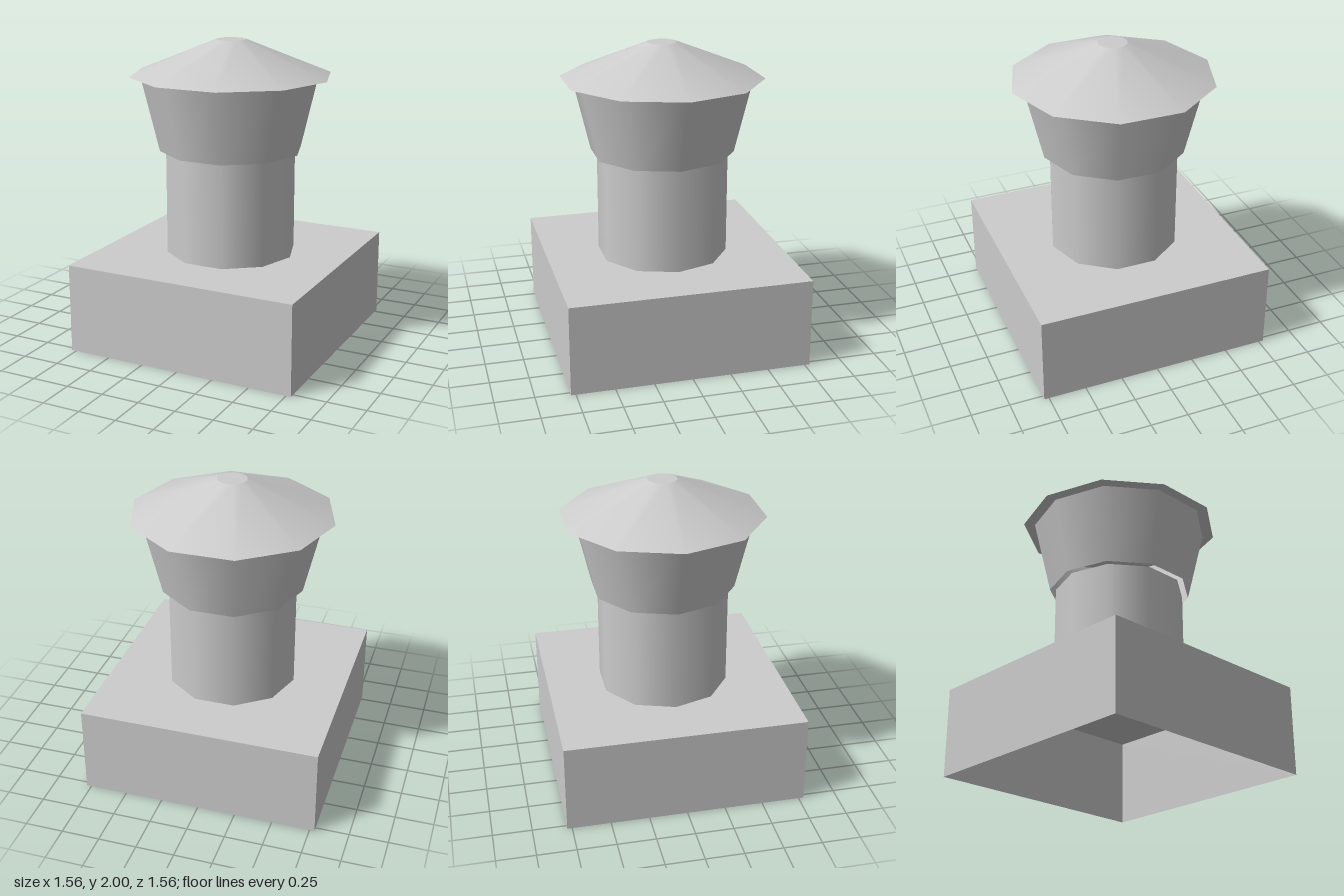
import * as THREE from 'three';

const SIDES = 10;

export function createModel() {
  const model = new THREE.Group();
  model.name = 'chimneyVent';
  const metal = new THREE.MeshStandardMaterial({ color: 0xcccccc, side: THREE.DoubleSide });
  metal.name = 'paleGrey';

  const add = (name, geometry) => {
    const mesh = new THREE.Mesh(geometry, metal);
    mesh.name = name;
    model.add(mesh);
  };

  // Open ten-sided tube with a corner on the x axis
  const tube = (bottomRadius, topRadius, y0, y1) =>
    new THREE.CylinderGeometry(topRadius, bottomRadius, y1 - y0, SIDES, 1, true)
      .rotateY(Math.PI / 2)
      .translate(0, (y0 + y1) / 2, 0);

  // Square base, hollow and open underneath (the downward face is left out)
  const base = new THREE.BoxGeometry(1.564, 0.588, 1.564).translate(0, 0.294, 0);
  const corners = Array.from(base.index.array);
  corners.splice(18, 6);
  base.setIndex(corners);
  base.clearGroups();
  add('base', base);

  // Pipe, flared collar and overhanging roof
  add('pipe', tube(0.431, 0.431, 0.588, 1.28));
  add('collar', tube(0.471, 0.588, 1.28, 1.77));
  add('roof', tube(0.663, 0.097, 1.77, 2));
  add('roofTop', new THREE.CircleGeometry(0.097, SIDES).rotateX(-Math.PI / 2).translate(0, 2, 0));

  return model;
}
